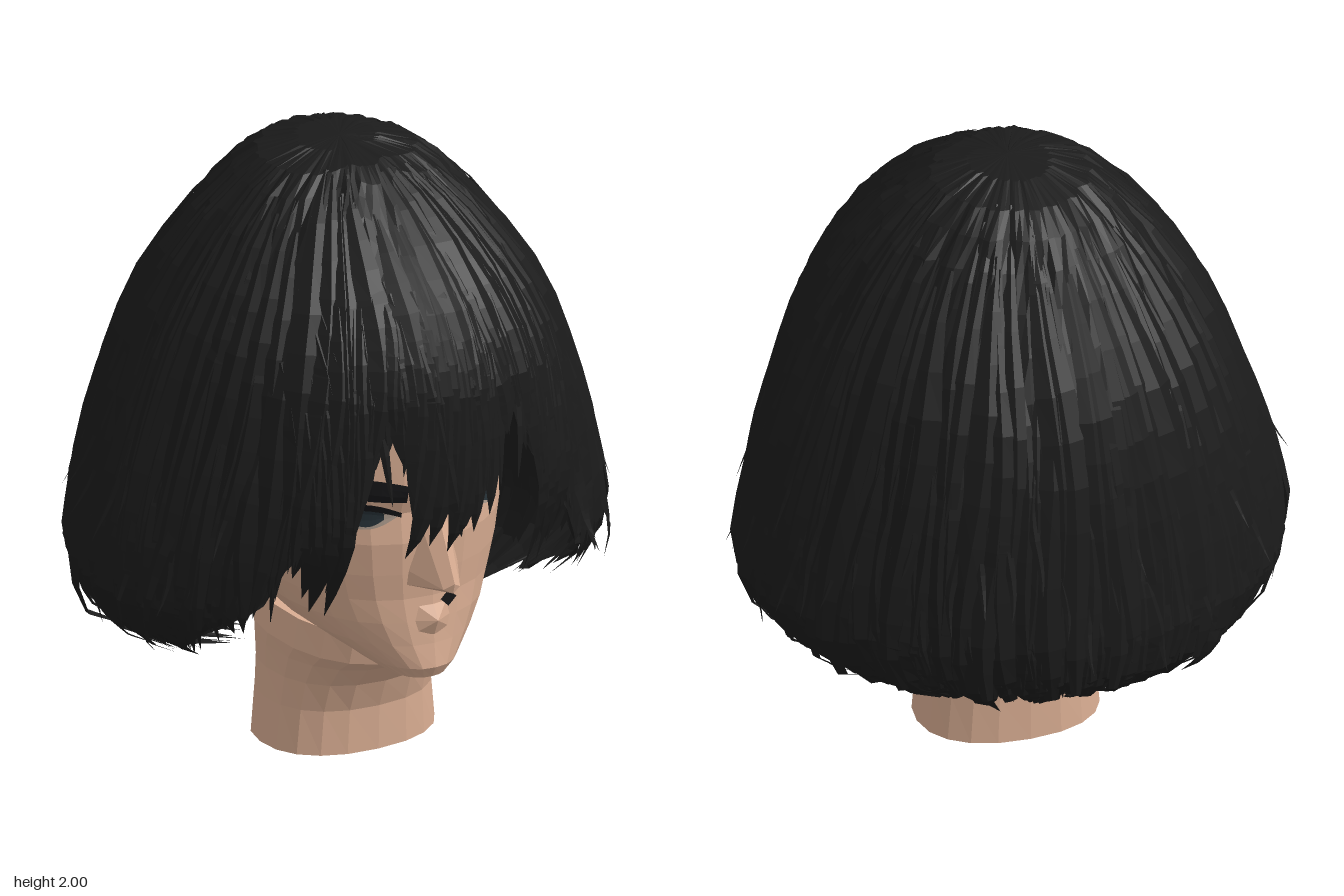
import * as THREE from 'three';
import { mergeGeometries } from 'three/addons/utils/BufferGeometryUtils.js';
import { ConvexGeometry } from 'three/addons/geometries/ConvexGeometry.js';

const material = (name, color, extra) => Object.assign(new THREE.MeshStandardMaterial({ color, flatShading: true, ...extra }), { name });
const both = { side: THREE.DoubleSide };
const skin = material('skin', 0xdaae93);
const hair = material('hair black', 0x1b1b1b, both);
const dark = material('brow black', 0x161618, both);
const white = material('eye white', 0xab9a8c, both);
const iris = material('iris slate', 0x273238, both);

let seed = 7;
const rand = (a = 0, b = 1) => {
  seed = (seed * 16807) % 2147483647;
  return a + (b - a) * seed / 2147483647;
};

// Linear lookup in rows sorted by their first number
function lookup(rows, key) {
  const up = rows[0][0] < rows[rows.length - 1][0];
  let i = 0;
  while (i < rows.length - 2 && (up ? key > rows[i + 1][0] : key < rows[i + 1][0])) i++;
  const [a, b] = [rows[i], rows[i + 1]];
  const t = THREE.MathUtils.clamp((key - a[0]) / (b[0] - a[0]), 0, 1);
  return a.map((v, k) => v + (b[k] - v) * t);
}

function indexed(pos, idx) {
  const g = new THREE.BufferGeometry();
  g.setAttribute('position', new THREE.Float32BufferAttribute(pos, 3));
  g.setIndex(idx);
  g.computeVertexNormals();
  return g;
}

// Closed loft; rows are [y, half width, front z, back z, z of widest point]
const SQUARE = 0.88;
function loft(rows, n) {
  const pos = [], idx = [];
  for (const [y, w, f, b, c] of rows) for (let i = 0; i < n; i++) {
    const a = i / n * Math.PI * 2, s = Math.sin(a), k = Math.cos(a);
    const depth = k > 0 ? f - c : b - c;
    pos.push(w * Math.sign(s) * Math.abs(s) ** SQUARE, y, c + depth * Math.abs(k) ** SQUARE);
  }
  const top = rows.length - 1, c0 = pos.length / 3;
  for (const r of [rows[0], rows[top]]) pos.push(0, r[0], r[4]);
  for (let i = 0; i < n; i++) {
    const j = (i + 1) % n;
    for (let r = 0; r < top; r++) {
      const p = r * n, q = p + n;
      idx.push(p + i, p + j, q + i, p + j, q + j, q + i);
    }
    idx.push(c0, j, i, c0 + 1, top * n + i, top * n + j);
  }
  return indexed(pos, idx);
}

const HEAD = [
  [0.38, 0.1, 0.64, 0.3, 0.48], [0.42, 0.16, 0.665, 0.1, 0.36], [0.5, 0.265, 0.655, -0.1, 0.22],
  [0.58, 0.33, 0.65, -0.24, 0.17], [0.66, 0.37, 0.645, -0.35, 0.13],
  [0.75, 0.4, 0.655, -0.42, 0.1], [0.86, 0.42, 0.665, -0.48, 0.08], [0.96, 0.425, 0.655, -0.52, 0.06],
  [1.04, 0.43, 0.685, -0.55, 0.05], [1.3, 0.45, 0.69, -0.56, 0.05], [1.5, 0.44, 0.61, -0.5, 0.05],
  [1.7, 0.36, 0.45, -0.36, 0.05], [1.85, 0.18, 0.25, -0.15, 0.05]];
const NECK = [
  [0, 0.295, 0.3, -0.16, 0.07], [0.15, 0.28, 0.305, -0.16, 0.07], [0.25, 0.275, 0.345, -0.16, 0.07],
  [0.33, 0.28, 0.42, -0.17, 0.08], [0.38, 0.285, 0.5, -0.18, 0.1], [0.48, 0.27, 0.52, -0.2, 0.1]];

const faceZ = (x, y) => {
  const [, w, f, , c] = lookup(HEAD, y), e = 2 / SQUARE;
  return c + (f - c) * Math.max(0, 1 - Math.abs(x / w) ** e) ** (1 / e);
};

// Thin painted patch that follows the face between two edge curves
function patch(x0, x1, lo, hi, off) {
  const g = new THREE.PlaneGeometry(1, 1, 10, 3), p = g.attributes.position;
  for (let i = 0; i < p.count; i++) {
    const u = p.getX(i) + 0.5, x = x0 + (x1 - x0) * u;
    const y = lo(u) + (hi(u) - lo(u)) * (p.getY(i) + 0.5);
    p.setXYZ(i, x, y, faceZ(x, y) + off);
  }
  g.computeVertexNormals();
  return g;
}

// Hair volume: [y, half width, front depth, back depth] around z = 0.05
const BOB = [
  [2, 0, 0, 0], [1.985, 0.18, 0.18, 0.21], [1.95, 0.27, 0.27, 0.3], [1.88, 0.36, 0.37, 0.39],
  [1.78, 0.45, 0.49, 0.47], [1.65, 0.54, 0.62, 0.55], [1.52, 0.61, 0.7, 0.63], [1.4, 0.66, 0.745, 0.69],
  [1.22, 0.72, 0.765, 0.745], [1.05, 0.775, 0.765, 0.77], [0.85, 0.825, 0.735, 0.785],
  [0.65, 0.85, 0.69, 0.79], [0.5, 0.78, 0.61, 0.76], [0.42, 0.65, 0.5, 0.69],
  [0.37, 0.46, 0.4, 0.57], [0.34, 0.34, 0.3, 0.42]];
// Lower hair edge: [degrees from the front, y]
const EDGE = [
  [0, 1.06], [9, 1.08], [13, 1.17], [17, 1.33], [21, 1.23], [25, 1.06], [33, 0.94], [41, 0.72],
  [52, 0.57], [70, 0.46], [90, 0.38], [115, 0.36], [180, 0.35]];

function bob(a, y, off = 0) {
  const [, w, f, b] = lookup(BOB, y), k = Math.cos(a);
  return new THREE.Vector3((w + off) * Math.sin(a), y,
    0.05 + (k > 0 ? (f + off) * k ** 1.12 : (b + off) * k));
}
const edgeY = (a) => lookup(EDGE, Math.abs(Math.atan2(Math.sin(a), Math.cos(a))) * 180 / Math.PI)[1];
const drop = (t) => (1 - Math.cos(Math.PI * t)) / 2;

function hairShell() {
  const n = 104, m = 18, pos = [], idx = [];
  for (let i = 0; i < n; i++) {
    const a = i / n * Math.PI * 2, e = edgeY(a) + rand(-0.02, 0.03);
    for (let j = 0; j <= m; j++) {
      const y = 2 - (2 - e) * drop(j / m);
      pos.push(...bob(a, y, j ? rand(-0.03, -0.005) : 0));
    }
  }
  for (let i = 0; i < n; i++) for (let j = 0; j < m; j++) {
    const p = i * (m + 1) + j, q = ((i + 1) % n) * (m + 1) + j;
    idx.push(p, p + 1, q, q, p + 1, q + 1);
  }
  return indexed(pos, idx);
}

// Tapered, ridged lock along a list of points
function lock(points, width) {
  const pos = [], idx = [], n = points.length - 1;
  points.forEach((p, i) => {
    const t = i / n;
    const along = points[Math.min(n, i + 1)].clone().sub(points[Math.max(0, i - 1)]).normalize();
    const out = new THREE.Vector3(p.x, 0.15, p.z - 0.05).normalize();
    const side = along.clone().cross(out).normalize();
    const w = width / 2 * Math.min(1, 0.15 + 3 * t) * (1 - t ** 4);
    pos.push(...p.clone().addScaledVector(side, -w), ...p.clone().addScaledVector(out, w * 0.35),
      ...p.clone().addScaledVector(side, w));
    if (i < n) for (const k of [i * 3, i * 3 + 1]) idx.push(k, k + 3, k + 1, k + 1, k + 3, k + 4);
  });
  return indexed(pos, idx);
}

// Lock lying on the hair volume, or inside it when scale is below 1
function bobLock(a, y0, y1, width, flick, sway, scale = 1) {
  const pts = [], wave = rand(0, 6), lift = rand(0.006, 0.02);
  for (let i = 0; i <= 11; i++) {
    const t = i / 11, y = y0 + (y1 - y0) * t;
    const p = bob(a + sway * t + 0.015 * Math.sin(wave + 7 * t), y,
      -0.015 + (lift + 0.012) * Math.sin(Math.PI * Math.min(1, t * 1.4) / 2) + flick * t ** 4);
    pts.push(p.multiply(new THREE.Vector3(scale, 1, scale)));
  }
  return lock(pts, width);
}

// Fringe lock falling over the face from root x to tip (x, y)
function fringeLock([x0, x1, yTip, width, y0 = 1.7]) {
  const pts = [];
  for (let i = 0; i <= 11; i++) {
    const t = i / 11, y = y0 + (yTip - y0) * t, x = x0 + (x1 - x0) * t * t;
    const p = bob(Math.asin(x / lookup(BOB, y)[1]), y, 0.004 + 0.008 * t);
    p.z -= Math.max(0, 0.95 - y) * 0.3;
    pts.push(p);
  }
  return lock(pts, width);
}

export function createModel() {
  const model = new THREE.Group();
  const add = (name, geometry, mat) => {
    const mesh = new THREE.Mesh(geometry, mat);
    mesh.name = name;
    model.add(mesh);
    return mesh;
  };
  const convex = (pts) => new ConvexGeometry(pts.map((p) => new THREE.Vector3(...p)));
  add('head', loft(HEAD, 28), skin);
  add('neck', loft(NECK, 20), skin);

  // Nose wedge, the dark spot under it, and the lips
  const nose = [[0, 0.97, 0.67], [0, 0.75, 0.785], [0, 0.715, 0.775], [0, 0.685, 0.67]];
  const lips = [[0, 0.63, 0.65], [0, 0.585, 0.68], [0, 0.53, 0.655]];
  for (const s of [-1, 1]) {
    nose.push([s * 0.1, 0.71, 0.62], [s * 0.085, 0.76, 0.65], [s * 0.05, 0.95, 0.63], [s * 0.03, 0.73, 0.765]);
    lips.push([s * 0.13, 0.58, 0.6], [s * 0.05, 0.63, 0.64], [s * 0.06, 0.54, 0.64]);
  }
  add('nose', convex(nose), skin);
  add('lips', convex(lips), skin);
  add('nostrils', new THREE.CircleGeometry(0.028, 4), dark).position.set(0, 0.69, 0.745);

  for (const s of [-1, 1]) {
    const side = s > 0 ? 'left' : 'right';
    const bow = (u) => Math.sin(Math.PI * u);
    add(side + 'Brow', patch(s * 0.11, s * 0.37, (u) => 1.01 + 0.02 * u, (u) => 1.07 + 0.025 * bow(u), 0.014), dark);
    add(side + 'EyeWhite', patch(s * 0.13, s * 0.32, (u) => 0.955 - 0.04 * bow(u), (u) => 0.965 + 0.03 * bow(u), 0.01), white);
    add(side + 'Iris', patch(s * 0.17, s * 0.275, (u) => 0.95 - 0.025 * bow(u), (u) => 0.97 + 0.022 * bow(u), 0.015), iris);
    add(side + 'Lashes', patch(s * 0.12, s * 0.34, (u) => 0.955 + 0.028 * bow(u), (u) => 0.972 + 0.035 * bow(u), 0.018), dark);
    // Ear: flattened faceted shell leaning outward
    const ear = add(side + 'Ear', new THREE.SphereGeometry(1, 9, 7), skin);
    ear.scale.set(0.045, 0.21, 0.12);
    ear.position.set(s * 0.465, 0.84, 0.06);
    ear.rotation.set(-0.12, s * -0.35, s * -0.2);
  }

  add('hairShell', hairShell(), hair);

  // Layered locks all round the head
  const locks = [];
  for (let i = 0; i < 420; i++) {
    const a = i * 2.39996, front = Math.cos(a) > 0.75;
    const e = edgeY(a) + rand(-0.04, 0.06);
    const y0 = Math.max(e + 0.3, front ? rand(1.6, 1.97) : rand(0.8, 1.97));
    const flick = !front && rand() < 0.12 ? rand(0.02, 0.08) : 0;
    const sway = front ? rand(-0.02, 0.02) : rand(-0.08, 0.08);
    locks.push(bobLock(a, y0, Math.max(0.345, e), rand(0.06, 0.13), flick, sway));
  }
  // Stray ends that stand off the sides and back
  for (let i = 0; i < 44; i++) {
    const a = 0.95 + i / 43 * (Math.PI * 2 - 1.9), y = rand(0.45, 0.95);
    locks.push(bobLock(a, y + 0.5, y, 0.04, rand(0.02, 0.07), 0.03));
  }
  add('hairLocks', mergeGeometries(locks), hair);

  // Inner layers that fill the space between neck and outer hair
  const inner = [];
  for (let i = 0; i < 170; i++) {
    const a = 1.42 + (i * 0.618034 % 1) * (Math.PI * 2 - 2.84);
    inner.push(bobLock(a, rand(0.9, 1.2), rand(0.345, 0.4), 0.14, 0, rand(-0.05, 0.05), rand(0.7, 0.96)));
  }
  add('innerHair', mergeGeometries(inner), hair);

  const fringe = [
    [0.02, -0.02, 0.86, 0.13], [-0.06, -0.16, 0.86, 0.12], [0.09, -0.01, 0.89, 0.13], [-0.1, 0.02, 0.91, 0.13],
    [0.12, 0.11, 0.97, 0.1], [-0.13, -0.16, 1.02, 0.1], [0.13, 0.15, 1.06, 0.07], [-0.03, -0.09, 0.9, 0.13],
    [0.05, 0.06, 0.92, 0.12]];
  for (const s of [-1, 1]) fringe.push(
    [s * 0.29, s * 0.34, 0.92, 0.08], [s * 0.33, s * 0.37, 0.74, 0.1], [s * 0.36, s * 0.35, 0.64, 0.1],
    [s * 0.4, s * 0.4, 0.66, 0.12, 1.55], [s * 0.43, s * 0.43, 0.72, 0.12, 1.5], [s * 0.46, s * 0.47, 0.8, 0.12, 1.5],
    [s * 0.38, s * 0.39, 0.84, 0.12, 1.55], [s * 0.26, s * 0.22, 1.06, 0.04]);
  add('fringe', mergeGeometries(fringe.map(fringeLock)), hair);
  return model;
}
